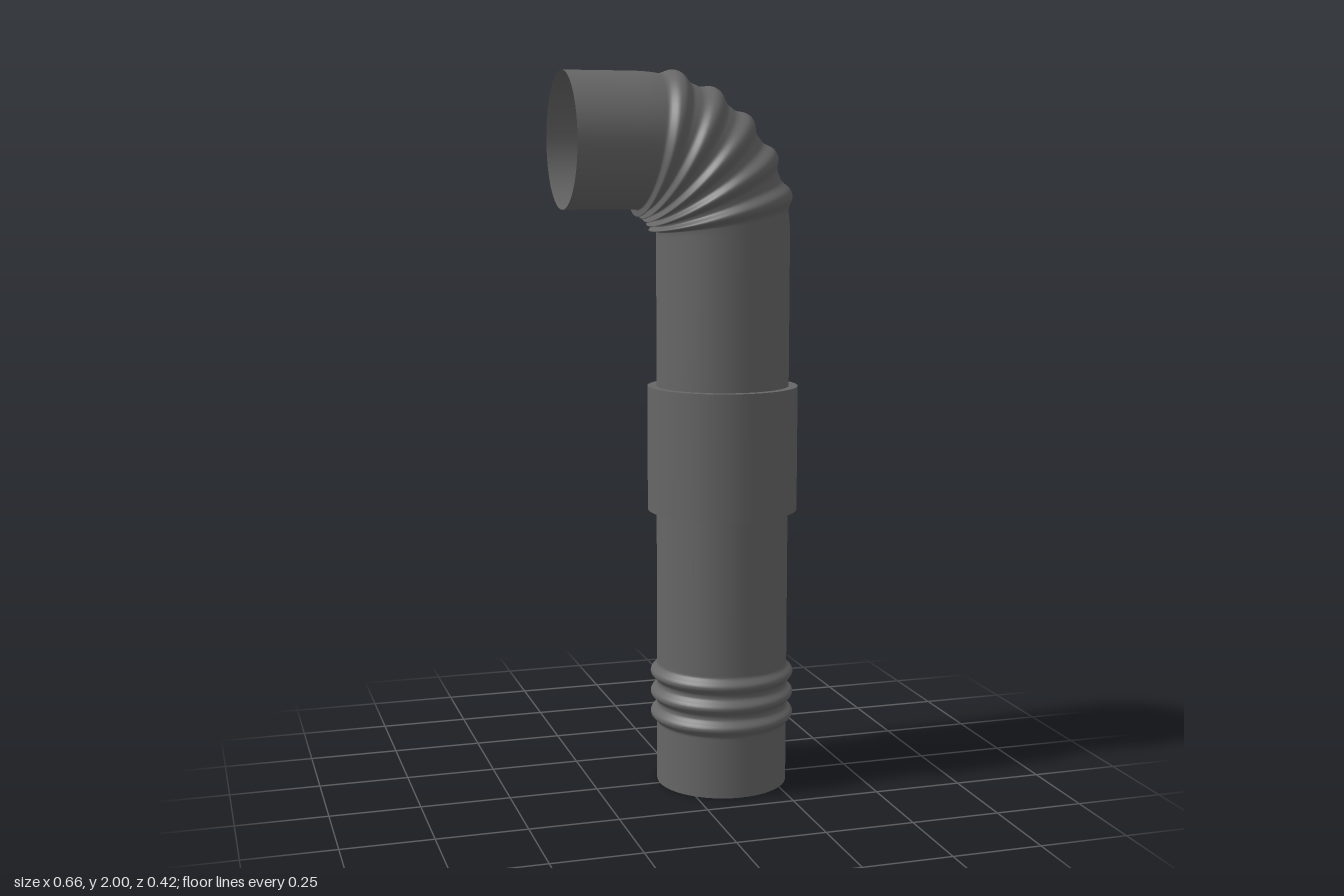
import * as THREE from 'three';

const R = 0.185;            // pipe radius
const AXIS_X = 0.12;        // x of the upright pipe
const BEND = 0.26;          // centreline radius of the elbow
const BEND_X = AXIS_X - BEND, BEND_Y = 1.555;
const SIDES = 48;

// Rounded rib: 1 at its middle, 0 beyond its half width
function rib(distance, halfWidth) {
  const t = Math.min(1, Math.abs(distance) / halfWidth);
  return 1 - t * t * t * (t * (6 * t - 15) + 10);
}

// Corrugated quarter bend, swept ring by ring
function elbowGeometry() {
  const steps = 108, positions = [], index = [];
  for (let i = 0; i <= steps; i++) {
    const deg = (90 * i) / steps, t = THREE.MathUtils.degToRad(deg);
    let r = R;
    for (let k = 1; k <= 5; k++) r += 0.019 * rib(deg - 15 * k, 6.5);
    for (let j = 0; j < SIDES; j++) {
      const p = (j / SIDES) * Math.PI * 2;
      const d = BEND + r * Math.cos(p);
      positions.push(BEND_X + d * Math.cos(t), BEND_Y + d * Math.sin(t), r * Math.sin(p));
      if (i < steps) {
        const a = i * SIDES + j, c = i * SIDES + ((j + 1) % SIDES);
        index.push(a, a + SIDES, c, c, a + SIDES, c + SIDES);
      }
    }
  }
  const g = new THREE.BufferGeometry();
  g.setAttribute('position', new THREE.Float32BufferAttribute(positions, 3));
  g.setIndex(index);
  g.computeVertexNormals();
  return g;
}

export function createModel() {
  const model = new THREE.Group();
  model.name = 'drainPipe';
  const grey = new THREE.MeshStandardMaterial({ color: 0x666666, side: THREE.DoubleSide });
  grey.name = 'grey plastic';

  function add(name, geometry, x = 0, y = 0) {
    const mesh = new THREE.Mesh(geometry, grey);
    mesh.name = name;
    mesh.position.set(x, y, 0);
    model.add(mesh);
    return mesh;
  }

  // Upright pipe, open below, with three ribs near the foot
  const profile = [new THREE.Vector2(R, 0), new THREE.Vector2(R, 0.165)];
  for (let i = 0; i <= 45; i++) {
    const y = 0.17 + (0.18 * i) / 45;
    let r = R;
    for (const c of [0.2, 0.26, 0.32]) r += 0.018 * rib(y - c, 0.029);
    profile.push(new THREE.Vector2(r, y));
  }
  profile.push(new THREE.Vector2(R, 0.355), new THREE.Vector2(R, BEND_Y));
  add('uprightPipe', new THREE.LatheGeometry(profile, SIDES), AXIS_X);

  // Coupling sleeve: outer wall with a flat rim at each end
  add('sleeveWall', new THREE.CylinderGeometry(0.21, 0.21, 0.35, SIDES, 1, true), AXIS_X, 0.965);
  for (const side of [1, -1]) {
    const rim = add(side > 0 ? 'sleeveTopRim' : 'sleeveBottomRim',
      new THREE.RingGeometry(R - 0.002, 0.21, SIDES), AXIS_X, 0.965 + side * 0.175);
    rim.rotation.x = -side * Math.PI / 2;
  }

  // Ribbed elbow
  add('elbow', elbowGeometry());

  // Open horizontal outlet
  const length = BEND_X + 0.335;
  const outlet = add('outlet', new THREE.CylinderGeometry(R, R, length, SIDES, 1, true),
    BEND_X - length / 2, BEND_Y + BEND);
  outlet.rotation.z = Math.PI / 2;

  return model;
}
